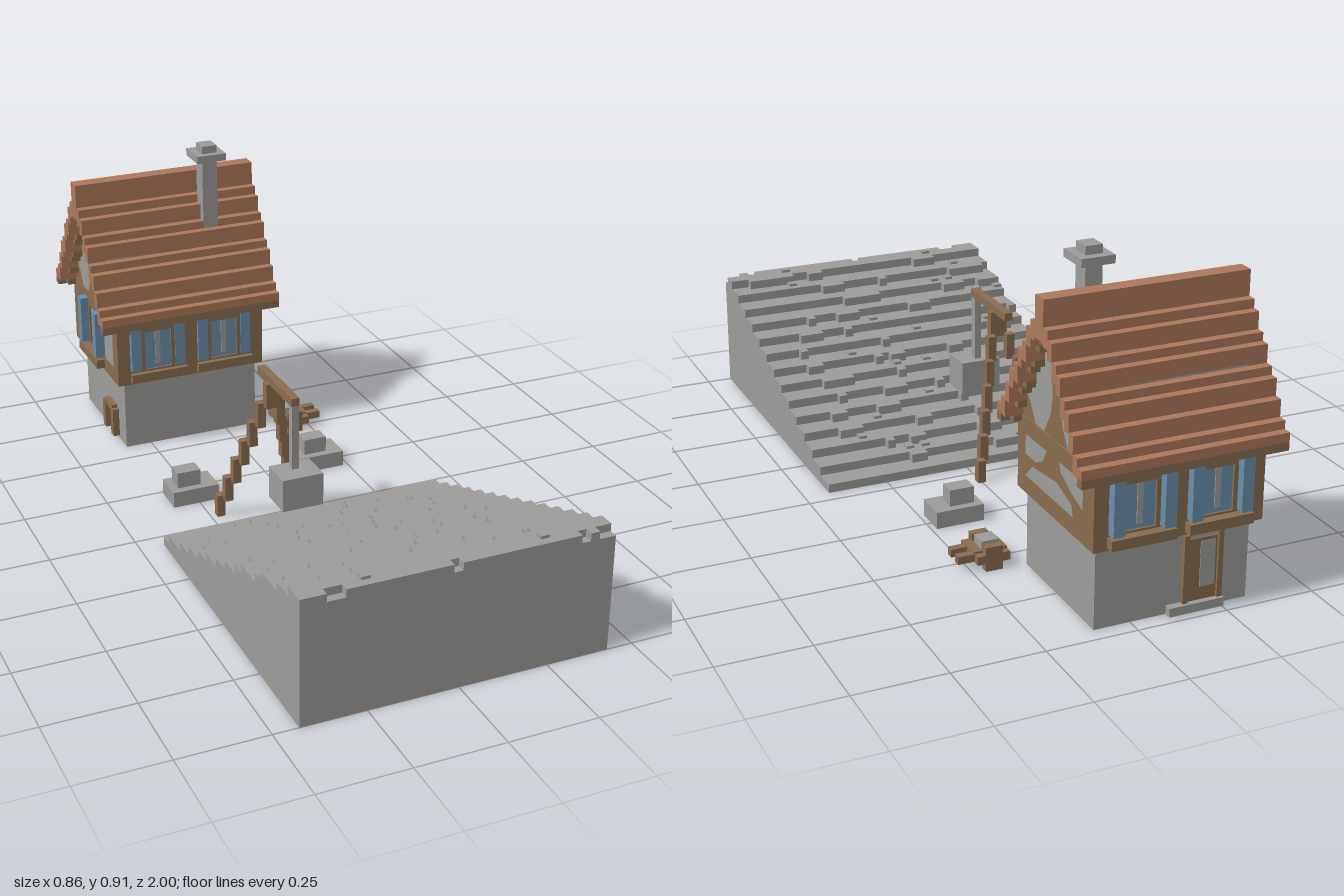
import * as THREE from 'three';

const mat = (name, color) => {
  const m = new THREE.MeshStandardMaterial({ color, side: THREE.DoubleSide });
  m.name = name;
  return m;
};

export function createModel() {
  const stone = mat('stone grey', 0x9d9c9a), wood = mat('timber brown', 0x8a6d50);
  const tile = mat('roof tile', 0xad785c), blue = mat('shutter blue', 0x6a8fae);
  const root = new THREE.Group();
  root.name = 'cottageScene';
  const group = (name) => {
    const g = new THREE.Group();
    g.name = name;
    root.add(g);
    return g;
  };
  const add = (parent, name, geometry, material) => {
    const m = new THREE.Mesh(geometry, material);
    m.name = name;
    parent.add(m);
    return m;
  };
  // Box from its extents; an open box has no bottom face
  const box = (parent, name, material, [x0, x1], [y0, y1], [z0, z1], open = false) => {
    const g = new THREE.BoxGeometry(x1 - x0, y1 - y0, z1 - z0);
    if (open) {
      const idx = Array.from(g.index.array);
      idx.splice(18, 6);
      g.setIndex(idx);
      g.clearGroups();
    }
    g.translate((x0 + x1) / 2, (y0 + y1) / 2, (z0 + z1) / 2);
    return add(parent, name, g, material);
  };
  // Flat polygon of (z, y) points facing along x
  const sidePlate = (parent, name, material, points, x) => {
    const g = new THREE.ShapeGeometry(new THREE.Shape(points.map(p => new THREE.Vector2(...p))));
    g.rotateY(-Math.PI / 2).translate(x, 0, 0);
    return add(parent, name, g, material);
  };

  // ---- Stepped slope: hollow, open underneath ----
  const slope = group('steppedSlope');
  const X0 = -0.43, X1 = 0.427, N = 14, Z0 = 0.045, dz = 0.955 / N, dy = 0.355 / N, v = 0.0243;
  const profile = [[Z0, 0]];
  for (let i = 0; i < N; i++) {
    profile.push([Z0 + i * dz, (i + 1) * dy], [i === N - 1 ? 1 - v : Z0 + (i + 1) * dz, (i + 1) * dy]);
  }
  profile.push([1 - v, 0.333], [1, 0.333], [1, 0]);
  const strip = [];
  for (let i = 0; i + 1 < profile.length; i++) {
    const [za, ya] = profile[i], [zb, yb] = profile[i + 1];
    strip.push(X0, ya, za, X0, yb, zb, X1, yb, zb, X0, ya, za, X1, yb, zb, X1, ya, za);
  }
  const treads = new THREE.BufferGeometry();
  treads.setAttribute('position', new THREE.Float32BufferAttribute(strip, 3));
  treads.computeVertexNormals();
  add(slope, 'treads', treads, stone);
  for (const x of [X0, X1]) sidePlate(slope, 'slopeSide', stone, profile, x);
  for (const r of [[X0, -0.36], [-0.31, -0.025], [0, 0.33], [0.355, 0.38]]) {
    box(slope, 'topEdge', stone, r, [0.333, 0.355], [1 - v, 1]);
  }
  // Ragged step edges and loose stones
  let seed = 7;
  const rand = () => (seed = (seed * 16807) % 2147483647) / 2147483647;
  for (let i = 1; i < N; i++) {
    const z = Z0 + i * dz;
    for (let k = 0; k < 6; k++) {
      const x = X0 + v * Math.floor(rand() * 31), w = v * (1 + Math.floor(rand() * 3));
      if (k < 4) box(slope, 'raggedEdge', stone, [x, x + w], [i * dy - v, (i + 1) * dy], [z - v, z]);
      else box(slope, 'looseStone', stone, [x, x + v], [(i + 1) * dy - 0.035, (i + 1) * dy + 0.008], [z + 0.02, z + 0.02 + v]);
    }
  }

  // ---- Hoist with hanging block ----
  const hoist = group('hoist');
  box(hoist, 'hangingBlock', stone, [-0.17, -0.05], [0.17, 0.265], [0.193, 0.29], true);
  box(hoist, 'hoistRod', stone, [-0.12, -0.1], [0.265, 0.456], [0.215, 0.238]);
  box(hoist, 'hoistBeam', wood, [-0.122, -0.098], [0.455, 0.478], [0, 0.238]);
  for (const s of [-1, 1]) {
    for (let i = 0; i < 7; i++) {
      const x = -0.11 + s * (0.012 + i * 0.0165), z = 0.08 - i * 0.0225;
      box(hoist, 'hoistLeg', wood, [x - 0.012, x + 0.012], [Math.max(0, 0.385 - i * 0.0655), 0.46 - i * 0.0655], [z - 0.012, z + 0.012]);
    }
  }

  // ---- Two stone pedestals ----
  const pedestals = group('pedestals');
  for (const [x, z] of [[-0.33, -0.24], [0.095, -0.29]]) {
    box(pedestals, 'pedestalBase', stone, [x, x + 0.14], [0, 0.048], [z, z + 0.095], true);
    box(pedestals, 'pedestalTop', stone, [x + 0.021, x + 0.092], [0.048, 0.096], [z + 0.022, z + 0.072]);
  }

  // ---- Handcart ----
  const cart = group('handcart');
  box(cart, 'cartBed', wood, [0.145, 0.24], [0.026, 0.05], [-0.548, -0.484]);
  box(cart, 'cartLoad', stone, [0.165, 0.215], [0.05, 0.072], [-0.54, -0.492]);
  for (const z of [-0.55, -0.504]) box(cart, 'cartShaft', wood, [0.23, 0.285], [0.024, 0.046], [z, z + 0.022]);
  for (const z of [-0.572, -0.482]) {
    box(cart, 'cartWheel', wood, [0.168, 0.216], [0, 0.068], [z, z + 0.022]);
    box(cart, 'cartWheelWide', wood, [0.146, 0.238], [0.022, 0.046], [z + 0.001, z + 0.021]);
  }

  // ---- House: stone base ----
  const house = group('house');
  box(house, 'stoneBase', stone, [-0.33, 0.1], [0, 0.222], [-0.955, -0.573], true);
  box(house, 'door', wood, [-0.238, -0.155], [0.022, 0.195], [-0.961, -0.955]);
  for (const x of [-0.252, -0.155]) box(house, 'doorPost', wood, [x, x + 0.014], [0.022, 0.21], [-0.968, -0.955]);
  box(house, 'doorPatch', stone, [-0.232, -0.19], [0.06, 0.185], [-0.963, -0.96]);
  box(house, 'doorstep', stone, [-0.255, -0.1], [0, 0.024], [-0.976, -0.955]);
  for (const z of [-0.74, -0.665]) box(house, 'hatchPost', wood, [-0.35, -0.328], [0.01, 0.1], [z, z + 0.025]);
  box(house, 'hatchLintel', wood, [-0.348, -0.328], [0.09, 0.11], [-0.725, -0.655]);

  // ---- House: timber-framed storey ----
  const A = -0.355, B = 0.117, F = -0.55, K = -0.975;
  box(house, 'plasterCore', stone, [A + 0.004, B - 0.004], [0.222, 0.42], [K + 0.02, F - 0.02]);
  box(house, 'sillBeam', wood, [A, B], [0.22, 0.262], [K, F]);
  box(house, 'topBeam', wood, [A, B], [0.385, 0.428], [K, F]);
  for (const x of [A, B - 0.04]) {
    for (const z of [K, F - 0.045]) box(house, 'cornerPost', wood, [x, x + 0.04], [0.262, 0.385], [z, z + 0.045]);
  }
  for (const z of [K, F - 0.022]) {
    box(house, 'middlePost', wood, [-0.14, -0.098], [0.262, 0.385], [z, z + 0.022]);
  }

  // Window with shutters; built facing +z, then turned to its wall
  const windowUnit = (x, z, turn, out) => {
    const w = new THREE.Group();
    w.name = 'window';
    box(w, 'pane', blue, [-0.042, 0.042], [0.262, 0.4], [-0.018, -0.006]);
    box(w, 'mullion', stone, [-0.008, 0.008], [0.275, 0.385], [-0.007, -0.003]);
    for (const s of [-0.055, 0.055]) {
      box(w, 'windowPost', wood, [s - 0.013, s + 0.013], [0.262, 0.385], [-0.02, 0.001]);
      box(w, 'shutter', blue, [s * 1.27 - 0.016, s * 1.27 + 0.016], [0.262, 0.408], [-0.02, out]);
    }
    box(w, 'windowSill', wood, [-0.09, 0.09], [0.228, 0.256], [-0.01, Math.max(out, 0.016)]);
    w.position.set(x, 0, z);
    w.rotation.y = turn;
    house.add(w);
  };
  for (const x of [-0.225, -0.01]) {
    windowUnit(x, F, 0, 0.004);
    windowUnit(x, K, Math.PI, 0.025);
  }
  windowUnit(A, -0.775, -Math.PI / 2, 0.025);

  // Braced plaster panels on the blind end
  box(house, 'endPanel', wood, [B - 0.006, B], [0.262, 0.385], [-0.93, -0.595]);
  sidePlate(house, 'plasterUpper', stone, [[-0.6, 0.385], [-0.72, 0.385], [-0.7, 0.35], [-0.66, 0.33], [-0.6, 0.33]], B + 0.002);
  sidePlate(house, 'plasterBack', stone, [[-0.79, 0.385], [-0.92, 0.385], [-0.92, 0.31], [-0.86, 0.33], [-0.8, 0.36]], B + 0.002);
  sidePlate(house, 'plasterLower', stone, [[-0.6, 0.27], [-0.87, 0.27], [-0.86, 0.3], [-0.78, 0.325], [-0.64, 0.31]], B + 0.002);

  // ---- Stepped roof and gables ----
  const tops = [0.455, 0.478, 0.525, 0.572, 0.595, 0.645, 0.668, 0.715, 0.74];
  const mid = -0.7625, step = 0.0239, RX = [-0.405, 0.165];
  tops.forEach((top, i) => {
    const d = 0.2375 - i * step;
    for (const s of [-1, 1]) {
      const z = [mid + s * d, mid + s * (d - step)].sort((a, b) => a - b);
      box(house, 'roofCourse', tile, RX, [i ? top - 0.05 : 0.43, top], z);
      if (!i) box(house, 'eaveBoard', wood, RX, [0.407, 0.43], z);
      if (i) box(house, 'vergeBoard', wood, [RX[0] + 0.025, RX[1] - 0.025], [top - 0.068, top - 0.05], z);
    }
    if (i > 1) {
      box(house, 'gableWall', stone, [A + 0.004, B - 0.004], [0.428, top - 0.045], [mid - d, mid + d]);
    }
  });
  box(house, 'roofRidge', tile, RX, [0.7, 0.81], [mid - 0.0225, mid + 0.0225]);
  for (const x of [A, B]) {
    const n = x === A ? A + 0.002 : B - 0.002;
    sidePlate(house, 'gablePost', wood, [[mid - 0.023, 0.428], [mid + 0.023, 0.428], [mid + 0.023, 0.7], [mid - 0.023, 0.7]], n);
    for (const s of [-1, 1]) {
      sidePlate(house, 'gableBrace', wood, [[mid + s * 0.185, 0.43], [mid + s * 0.115, 0.43], [mid + s * 0.14, 0.47], [mid + s * 0.165, 0.5], [mid + s * 0.185, 0.5]], n);
      sidePlate(house, 'postBrace', wood, [[mid + s * 0.023, 0.43], [mid + s * 0.065, 0.43], [mid + s * 0.03, 0.49], [mid + s * 0.023, 0.53]], n);
    }
  }

  // ---- Chimney ----
  box(house, 'chimneyStack', stone, [-0.025, 0.022], [0.6, 0.905], [-0.72, -0.668]);
  box(house, 'chimneyCap', stone, [-0.048, 0.045], [0.86, 0.882], [-0.743, -0.648]);

  return root;
}
